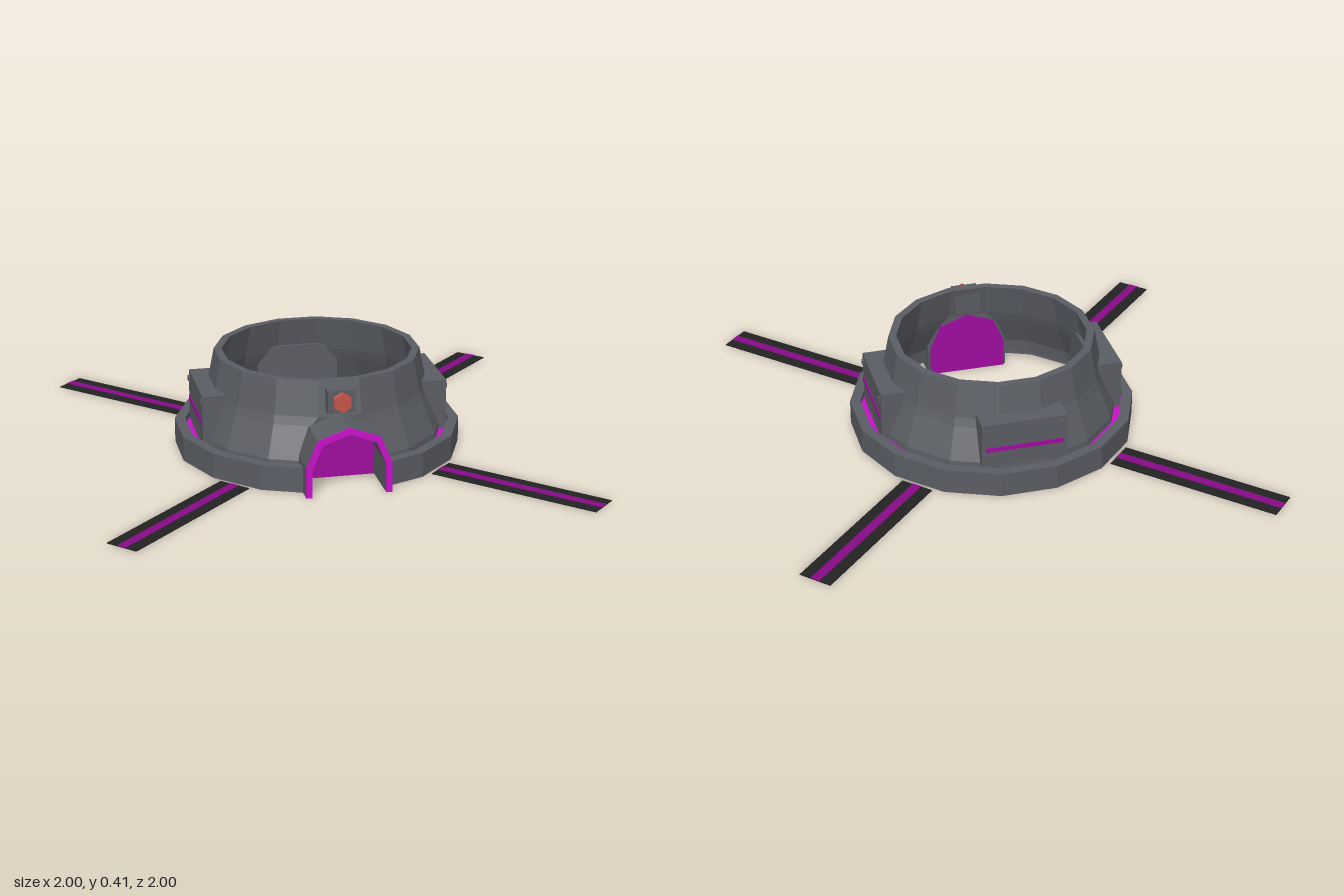
import * as THREE from 'three';

const mat = (name, color, side = THREE.FrontSide) => {
  const m = new THREE.MeshStandardMaterial({ color, side });
  m.name = name;
  return m;
};

const SIDES = 16;
const STEP = (Math.PI * 2) / SIDES;

// Half width of the doorway cut at height y
function doorwayHalf(y) {
  if (y <= 0.13) return 0.165;
  if (y <= 0.235) return THREE.MathUtils.mapLinear(y, 0.13, 0.235, 0.165, 0.12);
  return Math.max(0, THREE.MathUtils.mapLinear(y, 0.235, 0.272, 0.12, 0));
}

// One row of the 16-sided ring, starting and ending at the doorway edge
function ringRow(r, y) {
  const c = doorwayHalf(y);
  const onFront = c < r * Math.tan(STEP / 2);
  const zStart = onFront ? r : (r - c * Math.sin(STEP)) / Math.cos(STEP);
  const startAngle = Math.atan2(c, zStart);
  const R = r / Math.cos(STEP / 2);
  const row = [[c, y, zStart]];
  for (let k = 0; k < SIDES; k++) {
    const a = STEP * (k + 0.5);
    if (a < startAngle) row.push([c, y, zStart]);
    else if (a > Math.PI * 2 - startAngle) row.push([-c, y, zStart]);
    else row.push([R * Math.sin(a), y, R * Math.cos(a)]);
  }
  row.push([-c, y, zStart]);
  return row;
}

// Sweep a closed counter-clockwise profile of [apothem, y] around the ring
function ringGeometry(profile) {
  const rows = profile.map(([r, y]) => ringRow(r, y));
  const pos = [];
  rows.forEach((a, i) => {
    const b = rows[(i + 1) % rows.length];
    for (let j = 0; j < a.length - 1; j++) {
      pos.push(...a[j], ...a[j + 1], ...b[j + 1], ...a[j], ...b[j + 1], ...b[j]);
    }
  });
  const g = new THREE.BufferGeometry();
  g.setAttribute('position', new THREE.Float32BufferAttribute(pos, 3));
  g.computeVertexNormals();
  return g;
}

const archPoints = (w, knee, sw, sy, top) =>
  [[-w, 0], [-w, knee], [-sw, sy], [0, top], [sw, sy], [w, knee], [w, 0]];

const polygon = (pts) => new THREE.Shape(pts.map(([x, y]) => new THREE.Vector2(x, y)));

const extrude = (shape, z0, z1) =>
  new THREE.ExtrudeGeometry(shape, { depth: z1 - z0, bevelEnabled: false }).translate(0, 0, z0);

// Box given by its limits
const boxBetween = (x0, x1, y0, y1, z0, z1) =>
  new THREE.BoxGeometry(x1 - x0, y1 - y0, z1 - z0)
    .translate((x0 + x1) / 2, (y0 + y1) / 2, (z0 + z1) / 2);

export function createModel() {
  const model = new THREE.Group();
  model.name = 'roundBase';

  const grey = mat('grey metal', 0x5a5d63);
  const black = mat('black strip', 0x222222);
  const bright = mat('bright magenta', 0xc810c8);
  const door = mat('door magenta', 0xa00ca0);
  const dim = mat('dim magenta', 0x860c86);
  const red = mat('lamp red', 0xc4564a);

  const add = (parent, name, geometry, material) => {
    const m = new THREE.Mesh(geometry, material);
    m.name = name;
    parent.add(m);
    return m;
  };

  // Foot ring, glowing groove and flared wall
  add(model, 'footRing', ringGeometry([
    [0.545, 0], [0.588, 0], [0.588, 0.105], [0.545, 0.105],
  ]), grey);
  add(model, 'glowRing', ringGeometry([
    [0.5, 0.055], [0.547, 0.055], [0.547, 0.08], [0.5, 0.08],
  ]), bright);
  add(model, 'wall', ringGeometry([
    [0.52, 0.05], [0.515, 0.105], [0.505, 0.13], [0.462, 0.235], [0.45, 0.272], [0.422, 0.415],
    [0.39, 0.415], [0.42, 0.272], [0.432, 0.235], [0.475, 0.13], [0.485, 0.105], [0.49, 0.05],
  ]), grey);

  // Doorway hood, its bright front edge, and the door at the back
  const outer = archPoints(0.175, 0.125, 0.128, 0.237, 0.284);
  const inner = archPoints(0.15, 0.12, 0.108, 0.217, 0.258);
  const hoodShape = polygon([...outer, ...inner.slice().reverse()]);
  add(model, 'hood', extrude(hoodShape, 0.42, 0.62), grey);
  add(model, 'hoodEdge', extrude(hoodShape, 0.62, 0.628), bright);
  add(model, 'door', extrude(polygon(archPoints(0.165, 0.123, 0.12, 0.23, 0.273)), 0.412, 0.42), door);

  // Lamp above the doorway
  add(model, 'lampBox', boxBetween(-0.057, 0.057, 0.295, 0.39, 0.396, 0.48), grey);
  add(model, 'lamp',
    new THREE.CylinderGeometry(0.04, 0.04, 0.025, 6).rotateX(Math.PI / 2).translate(0, 0.344, 0.4925)
      .toNonIndexed(), red).geometry.computeVertexNormals();

  // Side and back panels
  ['leftPanel', 'backPanel', 'rightPanel'].forEach((name, i) => {
    const g = new THREE.Group();
    g.name = name;
    g.rotation.y = (Math.PI / 2) * (i + 1);
    add(g, 'panelBlock', boxBetween(-0.178, 0.178, 0.08, 0.295, 0.4, 0.515), grey);
    add(g, 'panelStrip', boxBetween(-0.16, 0.16, 0.171, 0.189, 0.514, 0.52), door);
    for (const s of [-1, 1]) {
      add(g, 'panelBolt', boxBetween(s * 0.153 - 0.01, s * 0.153 + 0.01, 0.254, 0.276, 0.51, 0.523), grey);
    }
    model.add(g);
  });

  // Four flat diagonal runways
  for (let i = 0; i < 4; i++) {
    const g = new THREE.Group();
    g.name = 'runway';
    g.rotation.y = Math.PI / 4 + (Math.PI / 2) * i;
    add(g, 'runwayStrip', boxBetween(-0.07, 0.07, 0, 0.003, 0.605, 1.344), black);
    add(g, 'runwayLine', boxBetween(-0.02, 0.02, 0.002, 0.005, 0.605, 1.344), dim);
    model.add(g);
  }

  return model;
}
